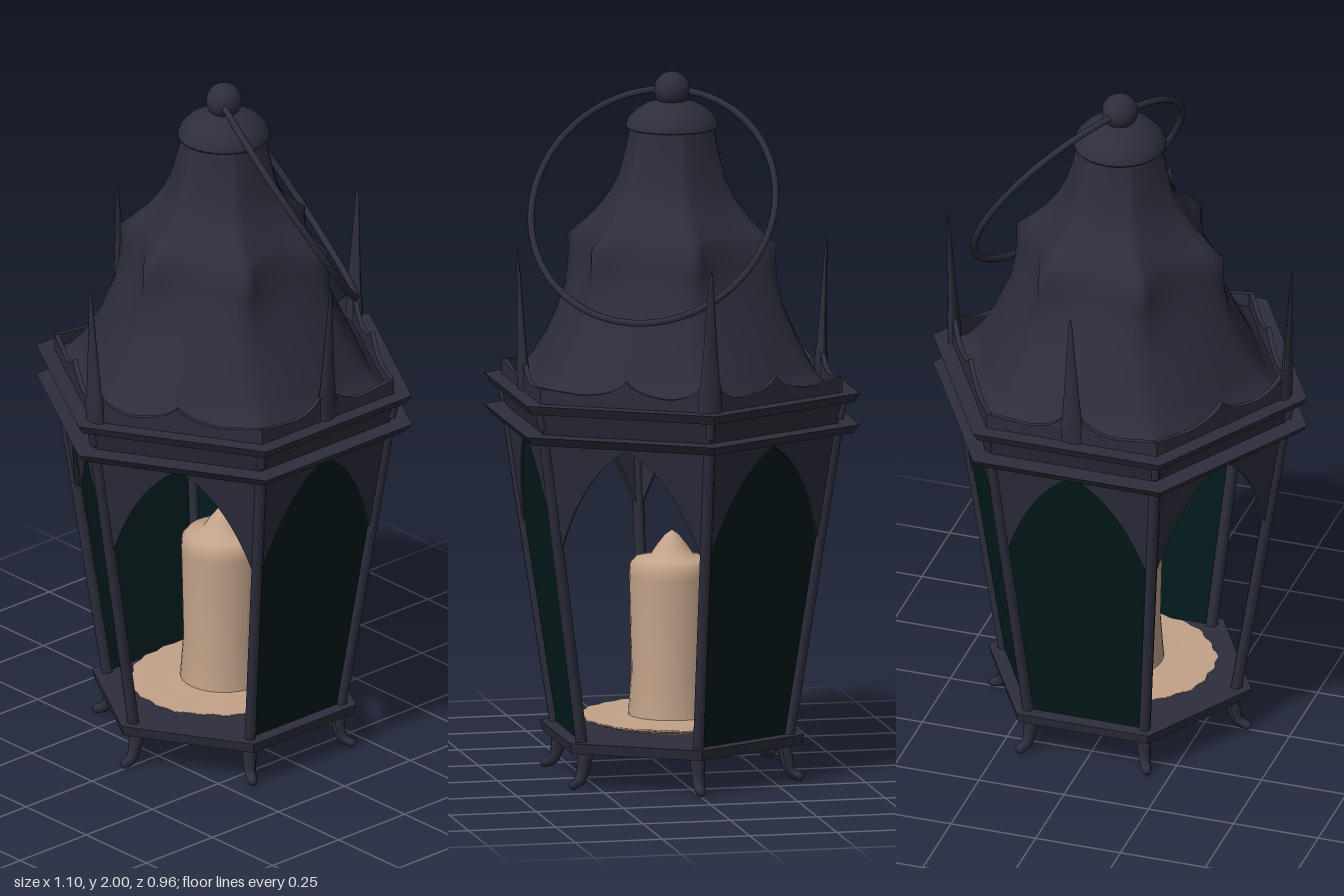
import * as THREE from 'three';

const SIDE = Math.PI / 3;
const metal = new THREE.MeshStandardMaterial({ name: 'dark iron', color: 0x2d2d3c, side: THREE.DoubleSide });
const glass = new THREE.MeshStandardMaterial({ name: 'green glass', color: 0x031a1b, side: THREE.DoubleSide });
const wax = new THREE.MeshStandardMaterial({ name: 'candle wax', color: 0xc2a289 });

function add(parent, name, geometry, material = metal) {
  const mesh = new THREE.Mesh(geometry, material);
  mesh.name = name;
  parent.add(mesh);
  return mesh;
}

const pts = (list) => list.map(([x, y]) => new THREE.Vector2(x, y));

// Six-sided slab with corners on the x axis
function hexSlab(rTop, rBottom, y0, y1) {
  const g = new THREE.CylinderGeometry(rTop, rBottom, y1 - y0, 6, 1, false, Math.PI / 6).toNonIndexed();
  g.translate(0, (y0 + y1) / 2, 0);
  g.computeVertexNormals();
  return g;
}

// Smooth six-sided loft; rows are [y, corner radius, inward bow of each side]
function hexLoft(rows, n = 10) {
  const pos = [], index = [], ringSize = 6 * n;
  for (const [y, r, bow] of rows) {
    for (let i = 0; i < ringSize; i++) {
      const a0 = Math.PI / 6 + Math.floor(i / n) * SIDE, a1 = a0 + SIDE;
      const t = (i % n) / n, s = r * (1 - bow * 4 * t * (1 - t));
      pos.push(s * ((1 - t) * Math.sin(a0) + t * Math.sin(a1)), y,
        s * ((1 - t) * Math.cos(a0) + t * Math.cos(a1)));
    }
  }
  for (let j = 0; j < rows.length - 1; j++) {
    for (let i = 0; i < ringSize; i++) {
      const a = j * ringSize + i, b = j * ringSize + (i + 1) % ringSize;
      const c = b + ringSize, d = a + ringSize;
      index.push(a, b, c, a, c, d);
    }
  }
  const g = new THREE.BufferGeometry();
  g.setAttribute('position', new THREE.Float32BufferAttribute(pos, 3));
  g.setIndex(index);
  g.computeVertexNormals();
  return g;
}

// Straight bar between two points
function bar(p, q, r) {
  const dir = q.clone().sub(p);
  const g = new THREE.CylinderGeometry(r, r, dir.length(), 8);
  g.applyQuaternion(new THREE.Quaternion().setFromUnitVectors(new THREE.Vector3(0, 1, 0), dir.clone().normalize()));
  const m = p.clone().add(q).multiplyScalar(0.5);
  return g.translate(m.x, m.y, m.z);
}

// Scalloped crest strip, swept up to the given heights at its ends and middle
function crestStrip(left, mid, right) {
  const s = new THREE.Shape();
  s.moveTo(-0.249, 1.11);
  s.lineTo(0.249, 1.11);
  s.lineTo(0.249, right);
  s.quadraticCurveTo(0.225, 1.155, 0.13, 1.145);
  s.quadraticCurveTo(0.03, 1.15, 0, mid);
  s.quadraticCurveTo(-0.03, 1.15, -0.13, 1.145);
  s.quadraticCurveTo(-0.225, 1.155, -0.249, left);
  return new THREE.ExtrudeGeometry(s, { depth: 0.014, bevelEnabled: false, curveSegments: 10 }).translate(0, 0, 0.419);
}

export function createModel() {
  const model = new THREE.Group();
  model.name = 'lantern';

  // Base plate, twin bevelled rims and the band between them
  add(model, 'basePlate', hexSlab(0.388, 0.38, 0.105, 0.135));
  add(model, 'lowerRim', hexSlab(0.552, 0.53, 1.0, 1.025));
  add(model, 'rimBand', hexSlab(0.51, 0.487, 1.025, 1.09));
  add(model, 'upperRim', hexSlab(0.552, 0.535, 1.088, 1.114));

  // Sloping side walls: arched headers, with panes on three sides
  const hw = (v) => 0.171 + 0.07 * v / 0.879;
  const header = new THREE.Shape();
  header.moveTo(-hw(0.575), 0.575);
  header.lineTo(-hw(0.879), 0.879);
  header.lineTo(hw(0.879), 0.879);
  header.lineTo(hw(0.575), 0.575);
  header.lineTo(0.202, 0.575);
  header.quadraticCurveTo(0.13, 0.8, 0, 0.869);
  header.quadraticCurveTo(-0.13, 0.8, -0.202, 0.575);
  const headerGeo = new THREE.ExtrudeGeometry(header, { depth: 0.012, bevelEnabled: false, curveSegments: 16 });
  headerGeo.translate(0, 0, -0.006);
  const paneGeo = new THREE.ShapeGeometry(new THREE.Shape(pts([
    [-hw(0), 0], [hw(0), 0], [hw(0.875), 0.875], [-hw(0.875), 0.875]])));

  const LOW = 1.158, BUMP = 1.19, HIGH = 1.235;
  for (let k = 0; k < 6; k++) {
    const side = new THREE.Group();
    side.name = 'side' + (k + 1);
    side.rotation.y = k * SIDE;
    const wall = new THREE.Group();
    wall.name = 'wall';
    wall.position.set(0, 0.13, 0.296);
    wall.rotation.x = 0.139;
    add(wall, 'archedHeader', headerGeo);
    if (k === 0 || k === 2 || k === 3) add(wall, 'glassPane', paneGeo, glass);
    side.add(wall);
    // The crest rises where it meets a spike
    add(side, 'crest', crestStrip(k % 3 === 2 ? HIGH : LOW, k % 3 === 0 ? HIGH : BUMP, k % 3 === 1 ? HIGH : LOW));
    model.add(side);
  }

  // Corner posts, pegs and curled feet
  const footCurve = new THREE.CatmullRomCurve3([[0.326, 0.11], [0.334, 0.075], [0.34, 0.045], [0.352, 0.024], [0.374, 0.015]]
    .map(([x, y]) => new THREE.Vector3(x, y, 0)));
  const footGeo = new THREE.TubeGeometry(footCurve, 14, 0.021, 8);
  const p = footGeo.attributes.position;
  for (let i = 0; i <= 14; i++) {
    const c = footCurve.getPointAt(i / 14), s = 1.1 - 0.45 * i / 14;
    for (let j = 0; j < 9; j++) {
      const v = new THREE.Vector3().fromBufferAttribute(p, i * 9 + j).sub(c).multiplyScalar(s).add(c);
      p.setXYZ(i * 9 + j, v.x, v.y, v.z);
    }
  }
  footGeo.computeVertexNormals();
  const postGeo = bar(new THREE.Vector3(0.343, 0.13, 0), new THREE.Vector3(0.483, 1.005, 0), 0.0165);
  const pegGeo = bar(new THREE.Vector3(0.492, 1.04, 0), new THREE.Vector3(0.503, 1.092, 0), 0.012);
  const tipGeo = new THREE.SphereGeometry(0.0135, 8, 6).translate(0.374, 0.015, 0);
  for (let k = 0; k < 6; k++) {
    const corner = new THREE.Group();
    corner.name = 'corner' + (k + 1);
    corner.rotation.y = k * SIDE;
    add(corner, 'post', postGeo);
    add(corner, 'peg', pegGeo);
    add(corner, 'foot', footGeo);
    add(corner, 'footTip', tipGeo);
    model.add(corner);
  }

  // Four tall spikes leaning slightly outward
  const spikeGeo = new THREE.LatheGeometry(pts([[0.034, 0], [0.033, 0.06], [0.027, 0.1], [0.021, 0.17], [0.012, 0.3], [0.005, 0.395], [0, 0.408]]), 10);
  spikeGeo.scale(0.5, 1, 1);
  spikeGeo.computeVertexNormals();
  for (let k = 0; k < 4; k++) {
    const holder = new THREE.Group();
    holder.name = 'spikeHolder' + (k + 1);
    holder.rotation.y = k * Math.PI / 2;
    const spike = add(holder, 'spike', spikeGeo);
    spike.position.set(k % 2 ? 0.425 : 0.488, 1.112, 0);
    spike.rotation.z = -0.045;
    model.add(holder);
  }

  // Flared roof with a softly shaded shoulder
  add(model, 'roof', hexLoft([[1.112, 0.49, 0], [1.14, 0.445, -0.02], [1.18, 0.41, -0.06], [1.25, 0.368, -0.08],
    [1.35, 0.325, -0.06], [1.42, 0.309, 0], [1.47, 0.305, 0.06], [1.525, 0.306, 0.1],
    [1.56, 0.265, 0.05], [1.6, 0.222, 0], [1.65, 0.183, -0.04],
    [1.7, 0.158, -0.05], [1.78, 0.135, -0.08], [1.86, 0.117, -0.12]]));

  // Domed cap and ball
  add(model, 'cap', new THREE.LatheGeometry(pts([[0, 1.842], [0.13, 1.842], [0.13, 1.848], [0.122, 1.87],
    [0.1, 1.893], [0.07, 1.91], [0.035, 1.918], [0, 1.92]]), 32));
  add(model, 'ball', new THREE.SphereGeometry(0.051, 24, 16)).position.y = 1.949;

  // Tilted carrying ring hanging from the ball
  const ring = add(model, 'ring', new THREE.TorusGeometry(0.354, 0.01, 8, 64));
  ring.position.set(0.153, 1.647, 0.088);
  ring.quaternion.setFromUnitVectors(new THREE.Vector3(0, 0, 1), new THREE.Vector3(0.739, 0.525, 0.423).normalize());

  // Candle with a melted peak, on a ragged pool of wax
  add(model, 'candle', new THREE.LatheGeometry(pts([[0.125, 0.15], [0.114, 0.3], [0.12, 0.57], [0.118, 0.602], [0.104, 0.618],
    [0.06, 0.628], [0.042, 0.655], [0.02, 0.683], [0, 0.697]]), 32), wax);
  const pool = new THREE.LatheGeometry(pts([[0, 0.137], [0.14, 0.137], [0.24, 0.158], [0.272, 0.168], [0.27, 0.173],
    [0.2, 0.17], [0.13, 0.175], [0, 0.175]]), 96);
  const q = pool.attributes.position;
  for (let i = 0; i < q.count; i++) {
    const x = q.getX(i), z = q.getZ(i), a = Math.atan2(z, x);
    const s = Math.hypot(x, z) < 0.22 ? 1 : 1 + 0.015 * Math.sin(23 * a) + 0.012 * Math.sin(9 * a + 1);
    q.setX(i, x * s);
    q.setZ(i, z * s * 0.93);
  }
  pool.computeVertexNormals();
  add(model, 'waxPool', pool, wax);

  return model;
}
